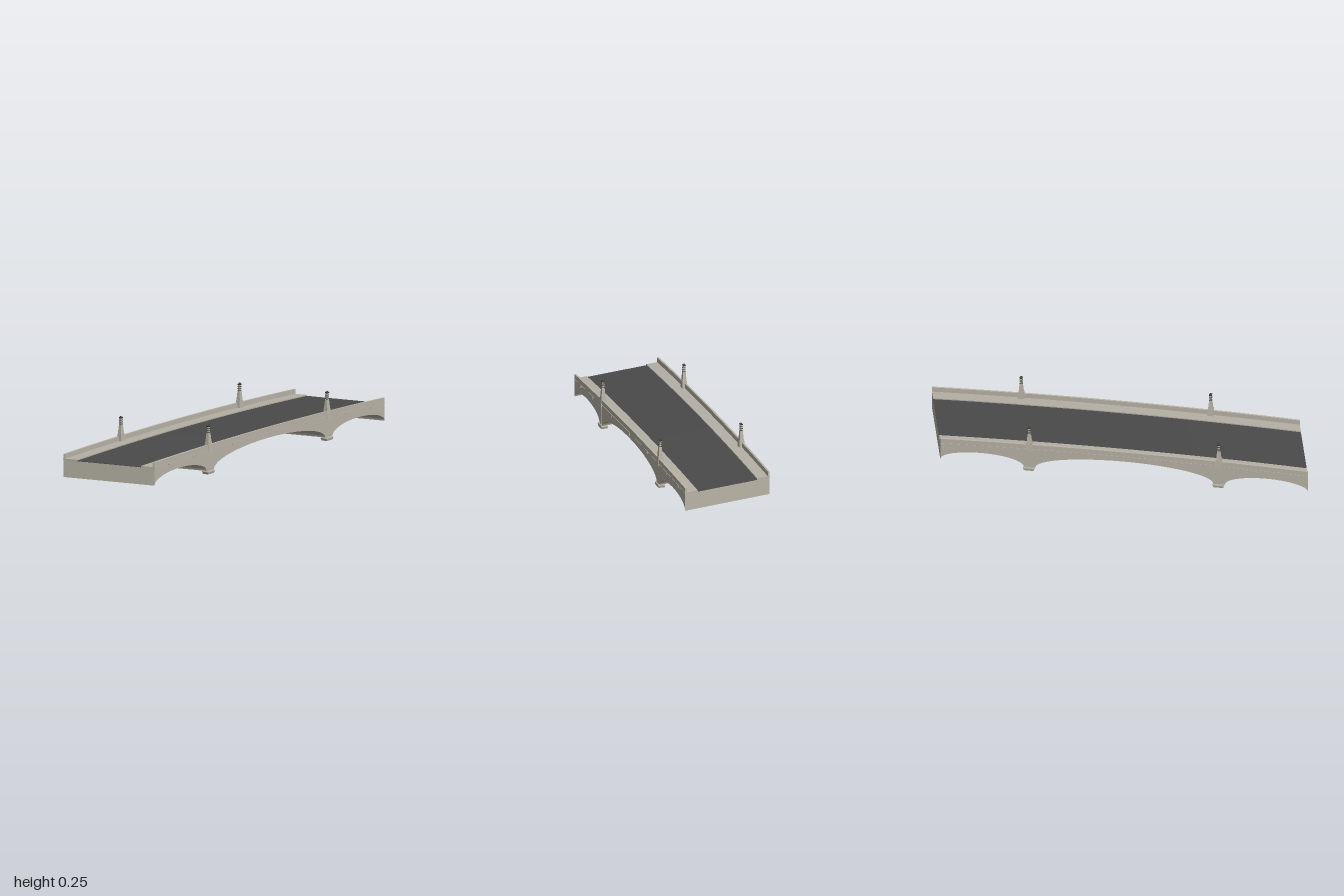
import * as THREE from 'three';
import { toCreasedNormals } from 'three/addons/utils/BufferGeometryUtils.js';

const HALF = 0.9375;   // half length along the deck
const SKEW = 0.26;     // sideways shift in x per unit of z
const PIER = 0.483;    // pier distance from the middle
const EDGE = 0.242;    // outer side face

const mat = (name, color) => Object.assign(new THREE.MeshStandardMaterial({ color }), { name });
const stone = mat('stone', 0xb9b4a6);
const paving = mat('paving', 0xb4b0a4);
const asphalt = mat('asphalt', 0x4a4a4a);
const dark = mat('dark metal', 0x42413d);

// Rise of the cambered deck above its ends
const camber = u => 0.017 * (1 - (u / HALF) ** 2);

export function createModel() {
  const bridge = new THREE.Group();
  bridge.name = 'bridge';

  const add = (name, geometry, material, parent = bridge) => {
    const mesh = new THREE.Mesh(geometry, material);
    mesh.name = name;
    parent.add(mesh);
    return mesh;
  };

  // Side outline extruded from z0 to z1, then skewed in plan
  const skewed = (points, z0, z1) => {
    const geo = new THREE.ExtrudeGeometry(new THREE.Shape(points), { depth: z1 - z0, bevelEnabled: false });
    geo.translate(0, 0, z0);
    geo.applyMatrix4(new THREE.Matrix4().set(1, 0, SKEW, 0, 0, 1, 0, 0, 0, 0, 1, 0, 0, 0, 0, 1));
    geo.deleteAttribute('normal');
    geo.deleteAttribute('uv');
    return toCreasedNormals(geo, 0.45);
  };

  // Cambered top line, running from the right end to the left
  const topLine = (y, n = 32) => Array.from({ length: n + 1 }, (_, i) => {
    const u = HALF * (1 - 2 * i / n);
    return new THREE.Vector2(u, y + camber(u));
  });
  // Slab that follows the camber between two heights
  const slab = (y0, y1, z0, z1) => skewed([...topLine(y0).reverse(), ...topLine(y1)], z0, z1);

  // Body with three elliptical arches
  const arch = (u0, u1, crown, n) => Array.from({ length: n + 1 }, (_, i) => {
    const a = Math.PI * (1 - i / n);
    return new THREE.Vector2((u0 + u1) / 2 + Math.cos(a) * (u1 - u0) / 2, 0.018 + Math.sin(a) * (crown - 0.018));
  });
  const inner = PIER - 0.03, outer = PIER + 0.03;
  add('archedBody', skewed([
    ...arch(-HALF, -outer, 0.075, 28),
    ...arch(-inner, inner, 0.1, 48),
    ...arch(outer, HALF, 0.075, 28),
    ...topLine(0.106),
  ], -EDGE, EDGE), stone);

  // Deck
  add('roadway', slab(0.1055, 0.108, -0.17, 0.17), asphalt);
  for (const s of [-1, 1]) {
    const side = s > 0 ? 'front' : 'back';
    const span = (a, b) => s > 0 ? [a, b] : [-b, -a];
    add(side + 'Sidewalk', slab(0.1055, 0.113, ...span(0.17, 0.232)), paving);
    add(side + 'Parapet', slab(0.1055, 0.137, ...span(0.232, EDGE)), stone);
    add(side + 'StringCourse', slab(0.109, 0.112, ...span(EDGE, 0.2435)), stone);

    // Drain spouts
    for (const u of [-0.82, -0.62, -0.3, 0, 0.3, 0.62, 0.82]) {
      const z = s * 0.2435;
      add(side + 'Drain', new THREE.BoxGeometry(0.005, 0.01, 0.004), stone)
        .position.set(u + SKEW * z, 0.102 + camber(u), z);
    }
    for (const u of [-PIER, PIER]) {
      const pier = makePier(add, s);
      pier.name = side + (u < 0 ? 'RightPier' : 'LeftPier');
      pier.position.set(u + SKEW * s * 0.232, 0, s * 0.232);
      bridge.add(pier);
    }
  }
  return bridge;
}

// Footing, pilaster and tapered pinnacle at one end of a pier
function makePier(add, s) {
  const pier = new THREE.Group();
  // Four-sided tapered block given by half widths at its bottom and top
  const block = (name, y0, y1, h0, h1, material, widthX = 1) => {
    const geo = new THREE.CylinderGeometry(h1 * Math.SQRT2, h0 * Math.SQRT2, y1 - y0, 4, 1).toNonIndexed();
    geo.rotateY(Math.PI / 4);
    geo.scale(widthX, 1, 1);
    geo.computeVertexNormals();
    return add(name, geo.translate(0, (y0 + y1) / 2, 0), material, pier);
  };
  block('footing', 0, 0.012, 0.016, 0.0185, stone, 1.55);
  block('footingCap', 0.012, 0.018, 0.0185, 0.0165, stone, 1.6);
  add('pilaster', new THREE.BoxGeometry(0.036, 0.1, 0.008), stone, pier).position.set(0, 0.066, s * 0.008);
  block('pinnacleBase', 0.112, 0.162, 0.0145, 0.012, stone, 1.15);
  block('pinnacleShaft', 0.162, 0.21, 0.0108, 0.0068, stone, 1.1);
  block('lanternNeck', 0.21, 0.242, 0.0056, 0.0054, stone);
  for (const y of [0.21, 0.22, 0.23]) block('lanternBand', y, y + 0.003, 0.0068, 0.0068, dark);
  block('capBrim', 0.24, 0.245, 0.0062, 0.008, dark);
  block('capPoint', 0.245, 0.253, 0.007, 0.0008, dark);
  return pier;
}
